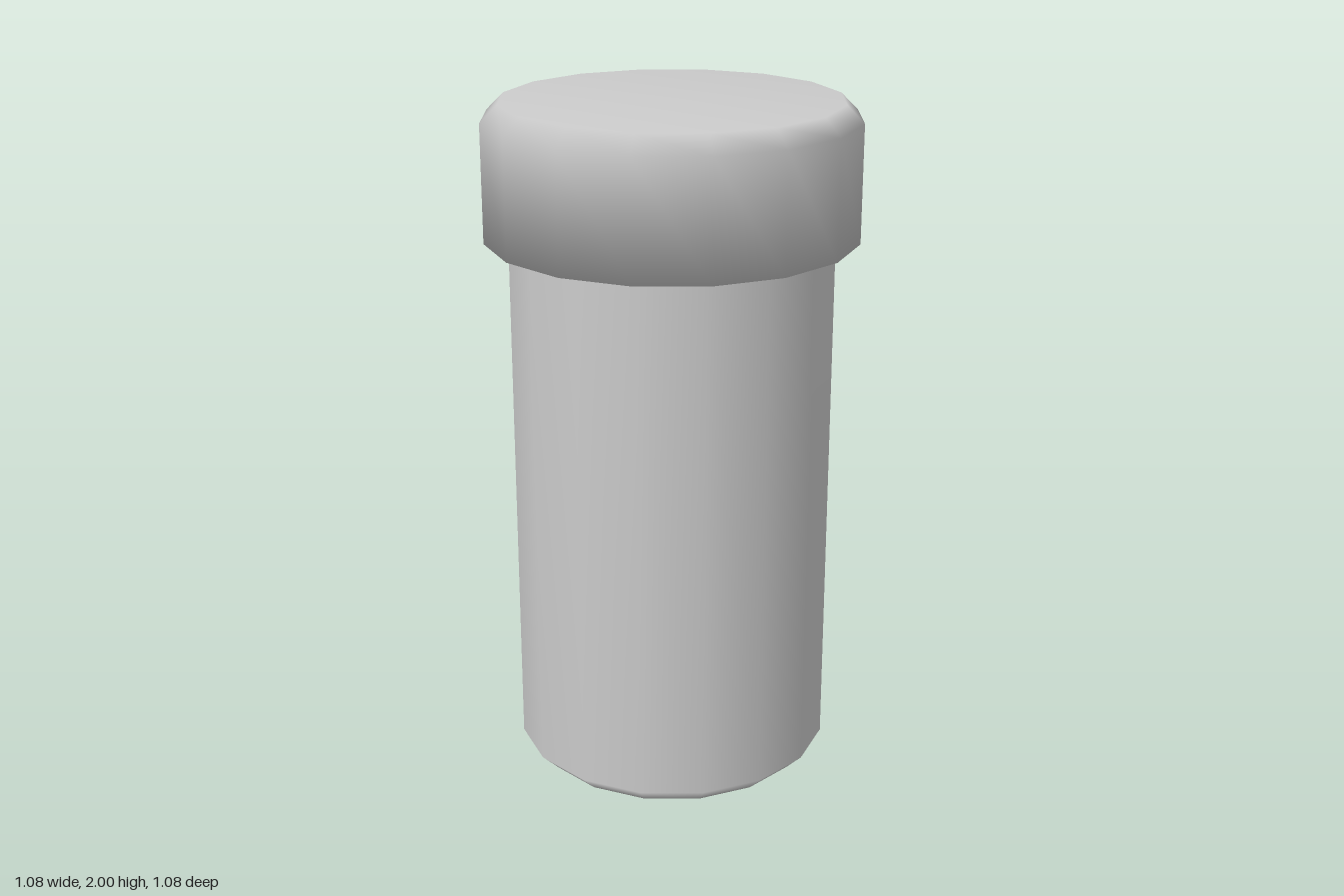
import * as THREE from 'three';

const SIDES = 16;
const material = new THREE.MeshStandardMaterial({ color: 0xcccccc });

// Revolves a [radius, height] profile, listed from bottom to top
function turned(name, profile) {
  const points = profile.map(([r, y]) => new THREE.Vector2(r, y));
  const mesh = new THREE.Mesh(new THREE.LatheGeometry(points, SIDES), material);
  mesh.name = name;
  return mesh;
}

export function createModel() {
  const group = new THREE.Group();
  group.name = 'cappedCylinder';

  // Straight body with a chamfered foot
  group.add(turned('body', [[0, 0], [0.42, 0], [0.47, 0.05], [0.47, 1.61]]));

  // Wider closed cap with a chamfered top rim
  group.add(turned('cap', [[0, 1.61], [0.54, 1.61], [0.54, 1.95], [0.49, 2], [0, 2]]));

  return group;
}
